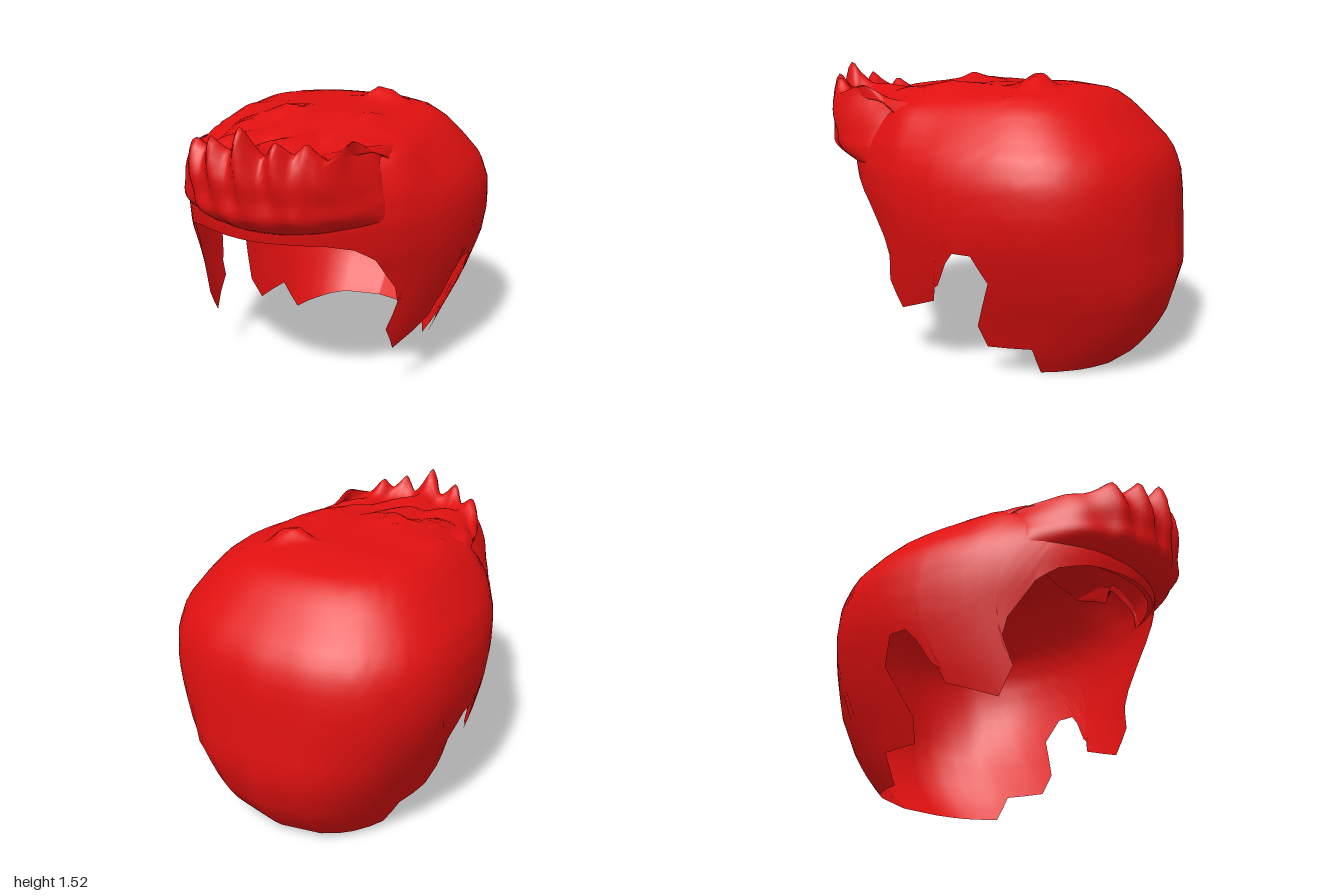
import * as THREE from 'three';

// Horizontal slices of the cap: [y, half width, back z, front z, z of widest point]
const SLICES = [
  [1.435, 0, -0.25, -0.25, -0.25], [1.43, 0.27, -0.42, 0.25, -0.22], [1.395, 0.48, -0.6, 0.55, -0.2],
  [1.33, 0.57, -0.69, 0.72, -0.22], [1.24, 0.65, -0.78, 0.8, -0.24], [1.12, 0.74, -0.9, 0.84, -0.25],
  [1.0, 0.78, -0.95, 0.83, -0.25], [0.85, 0.785, -0.97, 0.8, -0.25], [0.7, 0.765, -0.98, 0.73, -0.22],
  [0.47, 0.69, -1.0, 0.72, -0.14], [0.26, 0.6, -0.94, 0.74, -0.05], [0.12, 0.54, -0.85, 0.7, -0.05],
  [0, 0.47, -0.74, 0.6, -0.1],
];
// Lower edge on one side, from the middle of the hairline to the nape: [z, y]
const EDGE = [
  [0.83, 0.94], [0.8, 0.94], [0.72, 0.935], [0.62, 0.9], [0.53, 0.83], [0.4, 0.65],
  [0.36, 0.53], [0.4, 0.41], [0.32, 0.27], [0.07, 0.37], [0.07, 0.43], [0.02, 0.47],
  [-0.05, 0.6], [-0.1, 0.66], [-0.2, 0.66], [-0.27, 0.52], [-0.16, 0.26], [-0.19, 0.14],
  [-0.42, 0.15], [-0.43, 0], [-0.6, 0.015], [-0.72, 0.03], [-0.82, 0.03],
];
// Small tufts on the cap: [x, z, height, radius]
const TUFTS = [
  [0.2, -0.3, 0.08, 0.07], [-0.1, 0.2, 0.06, 0.08], [0.3, 0.15, 0.03, 0.12],
  [-0.35, 0.1, 0.02, 0.12], [0.62, 0.3, 0.07, 0.12], [-0.6, 0.3, 0.03, 0.12],
];
// Spikes along the quiff crest: [x, height]
const SPIKES = [
  [-0.4, 0.03], [-0.27, 0.06], [-0.13, 0.1], [0.04, 0.15], [0.2, 0.1], [0.31, 0.09], [0.46, 0.13],
];
const BACK_POWER = 0.85;
const { lerp, clamp, smoothstep } = THREE.MathUtils;

// Grid surface: columns run left to right, rows run downwards
function gridGeometry(cols, rows, closed, point) {
  const pos = [], index = [];
  for (let i = 0; i < cols; i++)
    for (let j = 0; j < rows; j++) pos.push(...point(i, j));
  const last = closed ? cols : cols - 1;
  for (let i = 0; i < last; i++) {
    for (let j = 0; j < rows - 1; j++) {
      const a = i * rows + j, b = ((i + 1) % cols) * rows + j;
      index.push(a, a + 1, b, b, a + 1, b + 1);
    }
  }
  const g = new THREE.BufferGeometry();
  g.setAttribute('position', new THREE.Float32BufferAttribute(pos, 3));
  g.setIndex(index);
  g.computeVertexNormals();
  return g;
}

// Slice at a fractional row
function sliceAt(s) {
  const i = Math.min(Math.floor(s), SLICES.length - 2);
  return SLICES[i].map((v, k) => lerp(v, SLICES[i + 1][k], s - i));
}

// Fractional row for a height
function rowOf(y) {
  let i = 0;
  while (i < SLICES.length - 2 && SLICES[i + 1][0] > y) i++;
  return i + (SLICES[i][0] - y) / (SLICES[i][0] - SLICES[i + 1][0]);
}

// Angle around the cap (0 front, PI back) where a slice reaches z
function angleOf(s, z) {
  const [, , back, front, mid] = sliceAt(s);
  if (z >= mid) return Math.acos(clamp((z - mid) / (front - mid), 0, 1));
  return Math.PI - Math.acos(Math.pow(clamp((mid - z) / (mid - back), 0, 1), 1 / BACK_POWER));
}

function capPoint(s, angle, side) {
  const [y, w, back, front, mid] = sliceAt(s);
  const c = Math.cos(angle), sn = Math.max(Math.sin(angle), 0);
  const x = side * w * (c < 0 ? Math.pow(sn, BACK_POWER) : sn);
  const z = c < 0 ? mid - (mid - back) * Math.pow(-c, BACK_POWER) : mid + (front - mid) * c;
  let lift = 0;
  for (const [tx, tz, h, r] of TUFTS) lift += h * Math.exp(-((x - tx) ** 2 + (z - tz) ** 2) / (r * r));
  const upper = smoothstep(y, 1.0, 1.3);
  // shallow combed waves towards the front
  lift += 0.012 * Math.sin(x * 24 + z * 4) * smoothstep(z, -0.1, 0.4);
  return [x, y + lift * upper, z];
}

function capGeometry() {
  // subdivided edge, then mirrored into a full ring
  const half = [];
  EDGE.forEach(([z, y], i) => {
    half.push([z, y]);
    const n = EDGE[i + 1];
    if (n) half.push([(z + n[0]) / 2, (y + n[1]) / 2]);
  });
  const n = half.length;
  const columns = half.map(([z, y], i) => {
    const s = rowOf(y);
    const centre = i === 0 || i === n - 1;
    const top = (i / (n - 1)) * Math.PI;
    return { s, top, edge: centre ? top : angleOf(s, z), side: 1 };
  });
  const mirrored = columns.slice(1, -1).reverse().map((c) => ({ ...c, side: -1 }));
  const ring = [...columns, ...mirrored];
  const rows = 26;
  return gridGeometry(ring.length, rows, true, (i, j) => {
    const t = j / (rows - 1), c = ring[i];
    return capPoint(c.s * t, lerp(c.top, c.edge, Math.pow(t, 1.6)), c.side);
  });
}

// Swept-up quiff: a curled cross-section carried across the forehead
function quiffGeometry() {
  const section = new THREE.CatmullRomCurve3([
    [0.05, 1.41], [0.35, 1.4], [0.55, 1.39], [0.72, 1.38], [0.83, 1.35], [0.91, 1.37],
    [0.96, 1.28], [0.945, 1.18], [0.94, 1.09], [0.87, 1.02], [0.77, 0.97],
  ].map(([z, y]) => new THREE.Vector3(0, y, z)));
  const cols = 97, rows = 33;
  return gridGeometry(cols, rows, false, (i, j) => {
    const u = (i / (cols - 1)) * 2 - 1, t = j / (rows - 1);
    const p = section.getPoint(t);
    let x = u * 0.6 + 0.04 * (1 - u * u);
    const crest = Math.exp(-(((t - 0.5) / 0.1) ** 2));
    const face = smoothstep(t, 0.3, 0.5) * (1 - smoothstep(t, 0.75, 1));
    let spike = 0;
    for (const [sx, h] of SPIKES)
      spike = Math.max(spike, h * Math.exp(-Math.pow(Math.abs(x - sx) / 0.055, 1.5)));
    const low = smoothstep(t, 0.5, 1);
    let y = p.y + lerp(-0.09, 0.05, low) * u * u + spike * crest;
    let z = p.z - 0.36 * u * u * smoothstep(t, 0.05, 0.4);
    // locks on the face and furrows behind the crest
    z += face * (0.2 * spike + 0.016 * Math.sin(x * 38 + y * 9));
    y += 0.022 * Math.sin(x * 21 + z * 9) * smoothstep(t, 0.1, 0.3) * (1 - smoothstep(t, 0.4, 0.55));
    // both ends run smoothly into the sides of the cap
    const tuck = smoothstep(Math.abs(u), 0.55, 1);
    const yEnd = clamp(y, 1.02, 1.37);
    const zEnd = lerp(0.1, 0.48, smoothstep(t, 0, 0.8));
    const s = rowOf(yEnd);
    const xEnd = capPoint(s, angleOf(s, zEnd), Math.sign(u))[0] * 0.98;
    z = lerp(z, zEnd, tuck);
    y = lerp(y, yEnd, tuck);
    x = lerp(x, xEnd, tuck);
    return [x, y, Math.min(z, 1)];
  });
}

export function createModel() {
  const group = new THREE.Group();
  group.name = 'hair';
  const red = new THREE.MeshStandardMaterial({ color: 0xe01010, side: THREE.DoubleSide });
  red.name = 'red hair';
  const add = (name, geometry) => {
    const mesh = new THREE.Mesh(geometry, red);
    mesh.name = name;
    group.add(mesh);
  };
  add('hairCap', capGeometry());
  add('quiff', quiffGeometry());
  return group;
}
